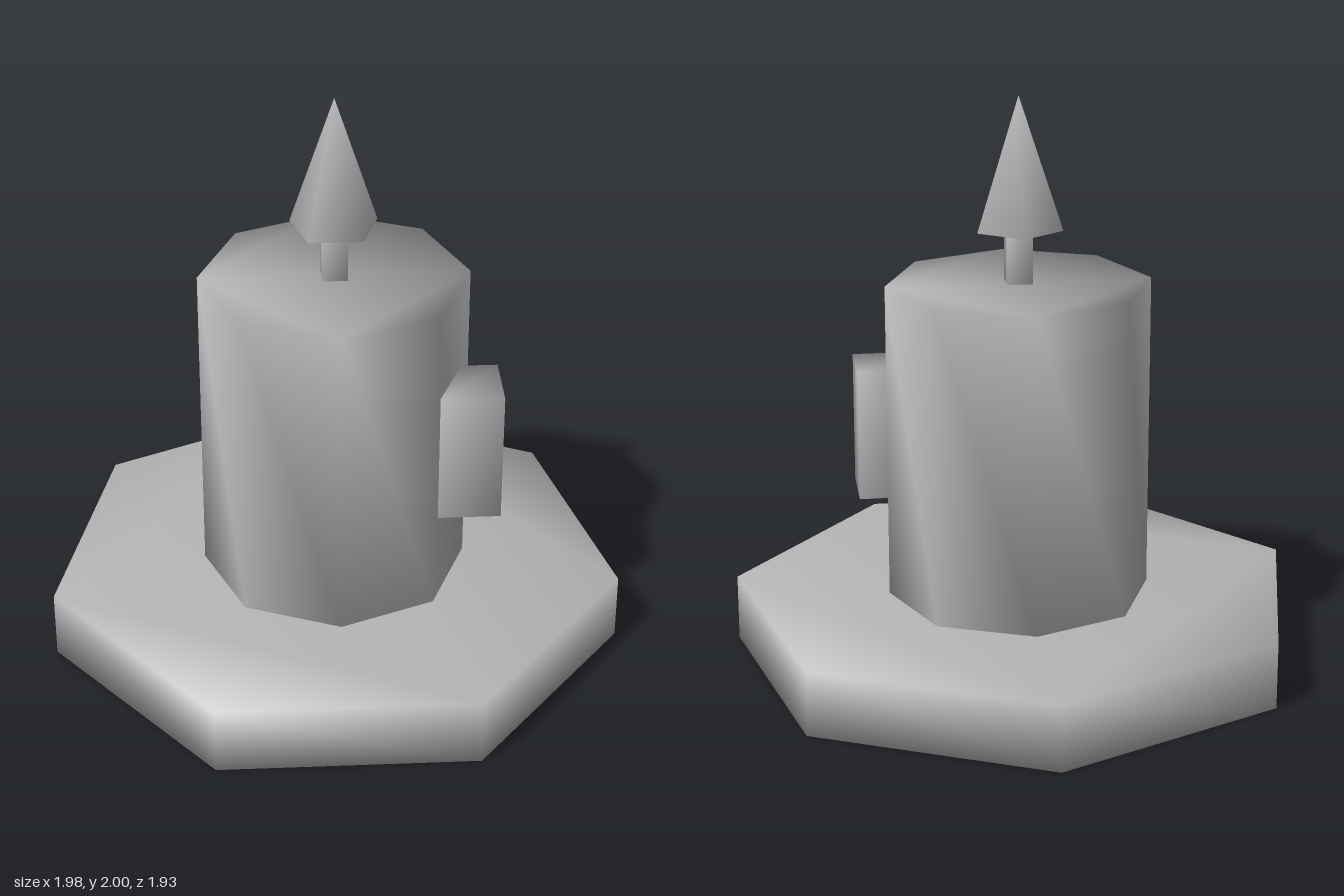
import * as THREE from 'three';
import { mergeVertices } from 'three/addons/utils/BufferGeometryUtils.js';

const CENTRE_Z = 0.046;

// Weld corners so the normals run smoothly across every edge
function soften(geometry) {
  geometry.deleteAttribute('uv');
  geometry.deleteAttribute('normal');
  const welded = mergeVertices(geometry, 1e-4);
  welded.clearGroups();
  welded.computeVertexNormals();
  return welded;
}

// Upright prism standing on y = 0 with one corner pointing to the back
function prism(sides, radius, height) {
  const corners = Array.from({ length: sides }, (_, i) => {
    const a = (i / sides) * Math.PI * 2;
    return new THREE.Vector2(-radius * Math.sin(a), radius * Math.cos(a));
  });
  return new THREE.ExtrudeGeometry(new THREE.Shape(corners), { depth: height, bevelEnabled: false })
    .rotateX(-Math.PI / 2);
}

export function createModel() {
  const group = new THREE.Group();
  const grey = new THREE.MeshStandardMaterial({ color: 0xb4b4b4 });
  grey.name = 'grey';

  const add = (name, geometry, x, y, z) => {
    const mesh = new THREE.Mesh(soften(geometry), grey);
    mesh.name = name;
    mesh.position.set(x, y, z);
    group.add(mesh);
  };

  // Seven-sided foot and eight-sided body
  add('base', prism(7, 1.016, 0.235), 0, 0, CENTRE_Z);
  add('body', prism(8, 0.461, 1.12), 0, 0.235, CENTRE_Z);

  // Block on the left of the body
  add('sideBlock', new THREE.BoxGeometry(0.215, 0.465, 0.23), 0.447, 0.797, 0.234);

  // Square post carrying a five-sided tip
  add('post', new THREE.BoxGeometry(0.088, 0.19, 0.088), 0, 1.45, 0.053);
  add('tip', new THREE.ConeGeometry(0.155, 0.46, 5).rotateY(Math.PI), 0, 1.77, 0.053);

  return group;
}
